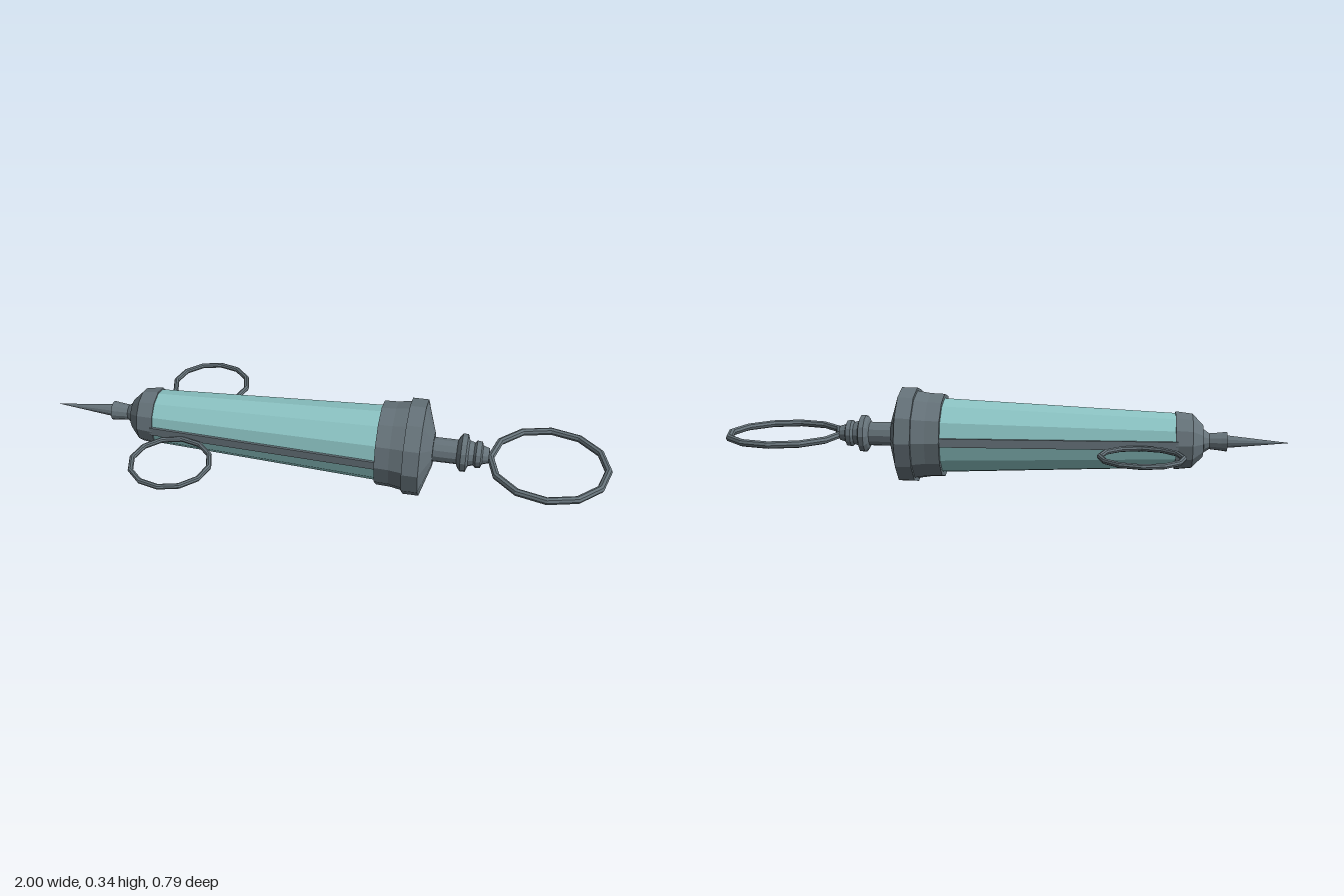
import * as THREE from 'three';

const SIDES = 12;
const AXIS_Y = 0.171;

export function createModel() {
  const root = new THREE.Group();
  root.name = 'syringe';
  const metal = new THREE.MeshStandardMaterial({ color: 0x66737a, flatShading: true });
  const glass = new THREE.MeshStandardMaterial({ color: 0x8cc4c4, flatShading: true });

  const add = (name, geometry, material, x, y, z) => {
    const mesh = new THREE.Mesh(geometry, material);
    mesh.name = name;
    mesh.position.set(x, y, z);
    root.add(mesh);
    return mesh;
  };

  // Faceted solid turned about the long axis; profile is [x, radius] from tip to handle
  const turned = (name, profile, material) => {
    const points = profile.map(([x, r]) => new THREE.Vector2(r, x));
    const geometry = new THREE.LatheGeometry(points, SIDES).rotateZ(-Math.PI / 2);
    return add(name, geometry, material, 0, AXIS_Y, 0);
  };

  // Flat-lying finger ring
  const ring = (name, radius, tube, x, z) =>
    add(name, new THREE.TorusGeometry(radius, tube, 8, SIDES).rotateX(Math.PI / 2), metal, x, 0.164, z);

  turned('needle', [[-1, 0], [-0.785, 0.022], [-0.785, 0]], metal);
  turned('needleHub', [
    [-0.785, 0], [-0.785, 0.035], [-0.765, 0.032], [-0.725, 0.028], [-0.705, 0.042], [-0.7, 0.042],
  ], metal);
  turned('frontCap', [
    [-0.703, 0], [-0.703, 0.056], [-0.665, 0.096], [-0.607, 0.103], [-0.607, 0],
  ], metal);
  turned('barrel', [[-0.61, 0.097], [0.21, 0.134]], glass);
  turned('rearCollar', [
    [0.2, 0], [0.2, 0.149], [0.25, 0.151], [0.297, 0.159], [0.297, 0.17],
    [0.353, 0.17], [0.355, 0.162], [0.388, 0.06], [0.388, 0],
  ], metal);

  // Plunger rod with its stepped knob
  turned('plunger', [
    [0.38, 0.043], [0.47, 0.043], [0.475, 0.055], [0.485, 0.067], [0.503, 0.066],
    [0.51, 0.046], [0.528, 0.04], [0.536, 0.048], [0.553, 0.046], [0.558, 0.033],
    [0.58, 0.026], [0.58, 0],
  ], metal);
  ring('thumbRing', 0.2, 0.013, 0.785, 0);

  for (const side of [1, -1]) {
    const label = side > 0 ? 'front' : 'back';
    ring(label + 'FingerRing', 0.137, 0.0095, -0.49, side * 0.249);
    // Rail following the taper of the barrel
    const rail = add(label + 'Rail', new THREE.BoxGeometry(0.83, 0.03, 0.02), metal,
      -0.2, AXIS_Y, side * 0.11);
    rail.rotation.y = -side * Math.atan2(0.037, 0.82);
  }
  return root;
}
